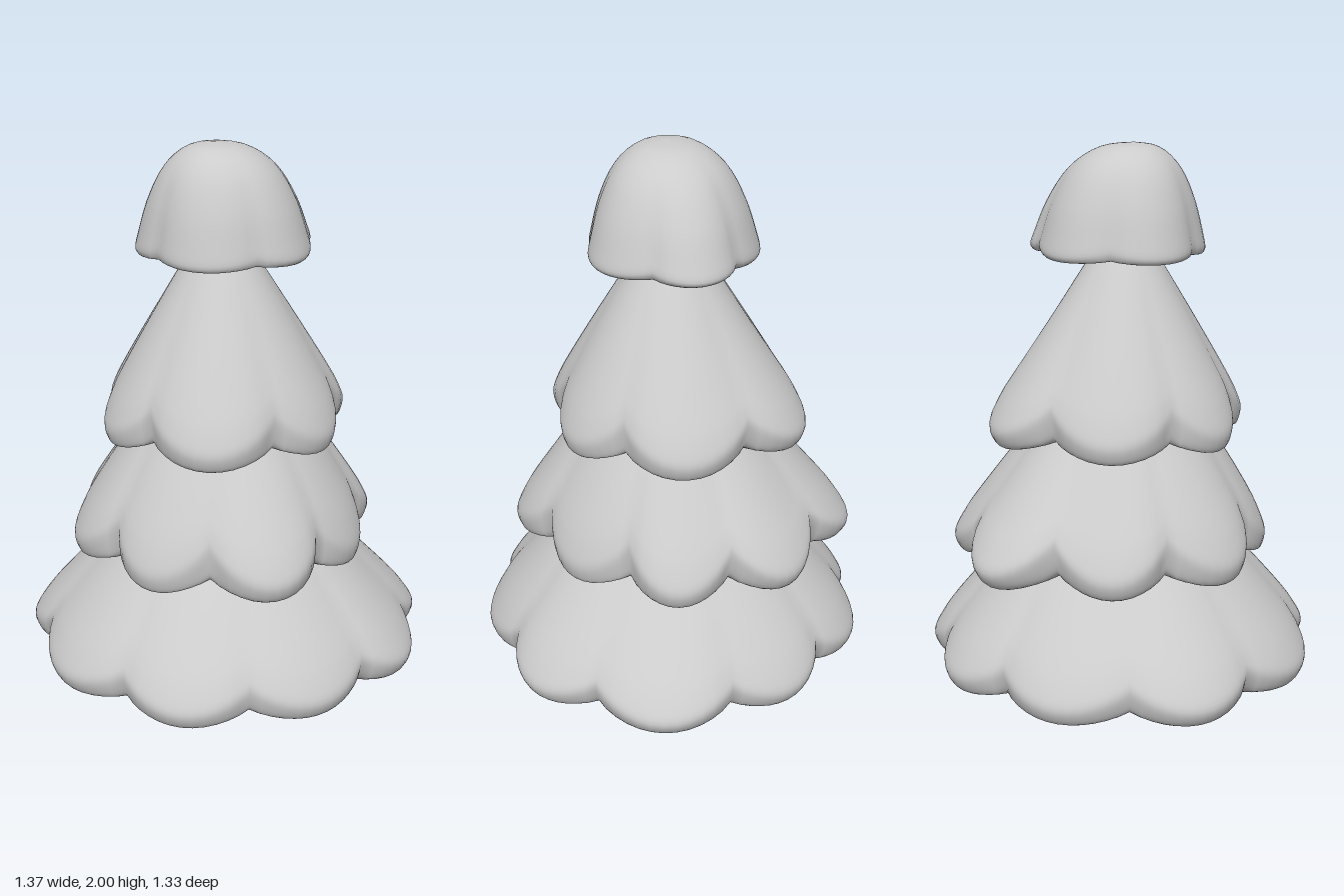
import * as THREE from 'three';

const material = new THREE.MeshStandardMaterial({ color: 0xcccccc });
const SEGMENTS = 12; // per lobe
const STEPS = 4; // per profile span

// Cross-sections from the apex over the rim and back underneath:
// [fraction of rim radius, fraction of tier height]
const skirtProfile = [[0, 1], [0.2, 0.88], [0.5, 0.62], [0.85, 0.28], [0.96, 0.15], [1, 0.075],
  [0.98, 0.015], [0.93, 0], [0.82, 0.06], [0.55, 0.25], [0, 0.42]];
const domeProfile = [[0, 1], [0.34, 0.955], [0.64, 0.77], [0.85, 0.46], [0.96, 0.18], [1, 0.05],
  [0.98, 0], [0.9, 0], [0.72, 0.1], [0, 0.24]];

// Scalloped rim: angle, radius and bulge (0 at a notch, 1 at a tip) all the way round
function rimSamples(angles, tips, notch) {
  const n = angles.length;
  const notchRadius = (i) => notch * (tips[i % n] + tips[(i + n - 1) % n]) / 2;
  return angles.flatMap((start, i) => {
    const end = i === n - 1 ? angles[0] + 360 : angles[i + 1];
    return Array.from({ length: SEGMENTS }, (_, k) => {
      const u = k / SEGMENTS;
      const bulge = Math.pow(Math.sin(Math.PI * u), 0.85);
      const base = THREE.MathUtils.lerp(notchRadius(i), notchRadius(i + 1), u);
      return {
        angle: THREE.MathUtils.degToRad(THREE.MathUtils.lerp(start, end, u)),
        radius: THREE.MathUtils.lerp(base, tips[i], bulge),
        bulge,
      };
    });
  });
}

// Smooth cross-section; x is radius, y is height, z is the strength of the scallop,
// which fades slowly up the outside and quickly on the underside
function sectionPoints(profile, bottom, top) {
  const rimIndex = profile.findIndex(([f]) => f === 1);
  const points = profile.map(([f, h], i) => new THREE.Vector3(
    f, THREE.MathUtils.lerp(bottom, top, h), Math.pow(f, i <= rimIndex ? 2.2 : 4.5)));
  const curve = new THREE.CatmullRomCurve3(points, false, 'centripetal');
  return curve.getPoints(STEPS * (profile.length - 1));
}

// A closed, hollow tier; angles are the notches in degrees, tips the radius of the lobe after each
function makeTier(name, { profile, bottom, top, lift, notch, apex, angles, tips }) {
  const rim = rimSamples(angles, tips, notch);
  const n = rim.length;
  const mean = rim.reduce((sum, s) => sum + s.radius, 0) / n;
  const section = sectionPoints(profile, bottom, top);
  const last = section.length - 1;
  const positions = [];
  const indices = [];
  section.forEach(({ x, y, z: w }, row) => {
    const f = Math.max(0, x);
    const shift = Math.max(0, 1 - f);
    for (const s of rim) {
      const r = f * THREE.MathUtils.lerp(mean, s.radius, w);
      positions.push(
        r * Math.cos(s.angle) + apex[0] * shift,
        y + lift * (1 - s.bulge) * w * w,
        r * Math.sin(s.angle) + apex[1] * shift,
      );
    }
    if (row === last) return;
    for (let i = 0; i < n; i++) {
      const a = row * n + i;
      const b = row * n + (i + 1) % n;
      if (row > 0) indices.push(a, b, a + n);
      if (row < last - 1) indices.push(b, b + n, a + n);
    }
  });
  const geometry = new THREE.BufferGeometry();
  geometry.setAttribute('position', new THREE.Float32BufferAttribute(positions, 3));
  geometry.setIndex(indices);
  geometry.computeVertexNormals();
  const mesh = new THREE.Mesh(geometry, material);
  mesh.name = name;
  return mesh;
}

// Trunk with a flared foot and a slightly domed base
function makeTrunk() {
  const points = [[0, 0], [0.06, 0.01], [0.108, 0.022], [0.114, 0.03], [0.098, 0.075],
    [0.083, 0.12], [0.074, 0.18], [0.068, 0.26], [0.06, 0.6]].map((p) => new THREE.Vector2(...p));
  const trunk = new THREE.Mesh(new THREE.LatheGeometry(points, 24), material);
  trunk.name = 'trunk';
  trunk.position.set(0.025, 0, -0.03);
  return trunk;
}

export function createModel() {
  const tree = new THREE.Group();
  tree.name = 'tree';
  tree.add(makeTrunk());
  tree.add(makeTier('bottomBranches', {
    profile: skirtProfile, bottom: 0.225, top: 1, lift: 0.06, notch: 0.905, apex: [0, 0],
    angles: [-80, -44, -2, 35, 76, 117, 162, 201, 243],
    tips: [0.67, 0.715, 0.69, 0.66, 0.67, 0.67, 0.69, 0.665, 0.67],
  }));
  tree.add(makeTier('lowerMiddleBranches', {
    profile: skirtProfile, bottom: 0.61, top: 1.42, lift: 0.1, notch: 0.855, apex: [0, 0],
    angles: [-90, -49, -7, 41, 90, 137, 185, 229],
    tips: [0.58, 0.545, 0.49, 0.545, 0.5, 0.525, 0.545, 0.62],
  }));
  tree.add(makeTier('upperMiddleBranches', {
    profile: skirtProfile, bottom: 1.025, top: 1.76, lift: 0.09, notch: 0.845, apex: [-0.01, 0.01],
    angles: [-65, 0, 57, 125, 177, 240],
    tips: [0.435, 0.41, 0.43, 0.42, 0.43, 0.47],
  }));
  tree.add(makeTier('treetop', {
    profile: domeProfile, bottom: 1.64, top: 2, lift: 0.02, notch: 0.9, apex: [-0.03, 0.03],
    angles: [-73, -13, 60, 140, 212],
    tips: [0.32, 0.29, 0.28, 0.29, 0.285],
  }));
  return tree;
}
